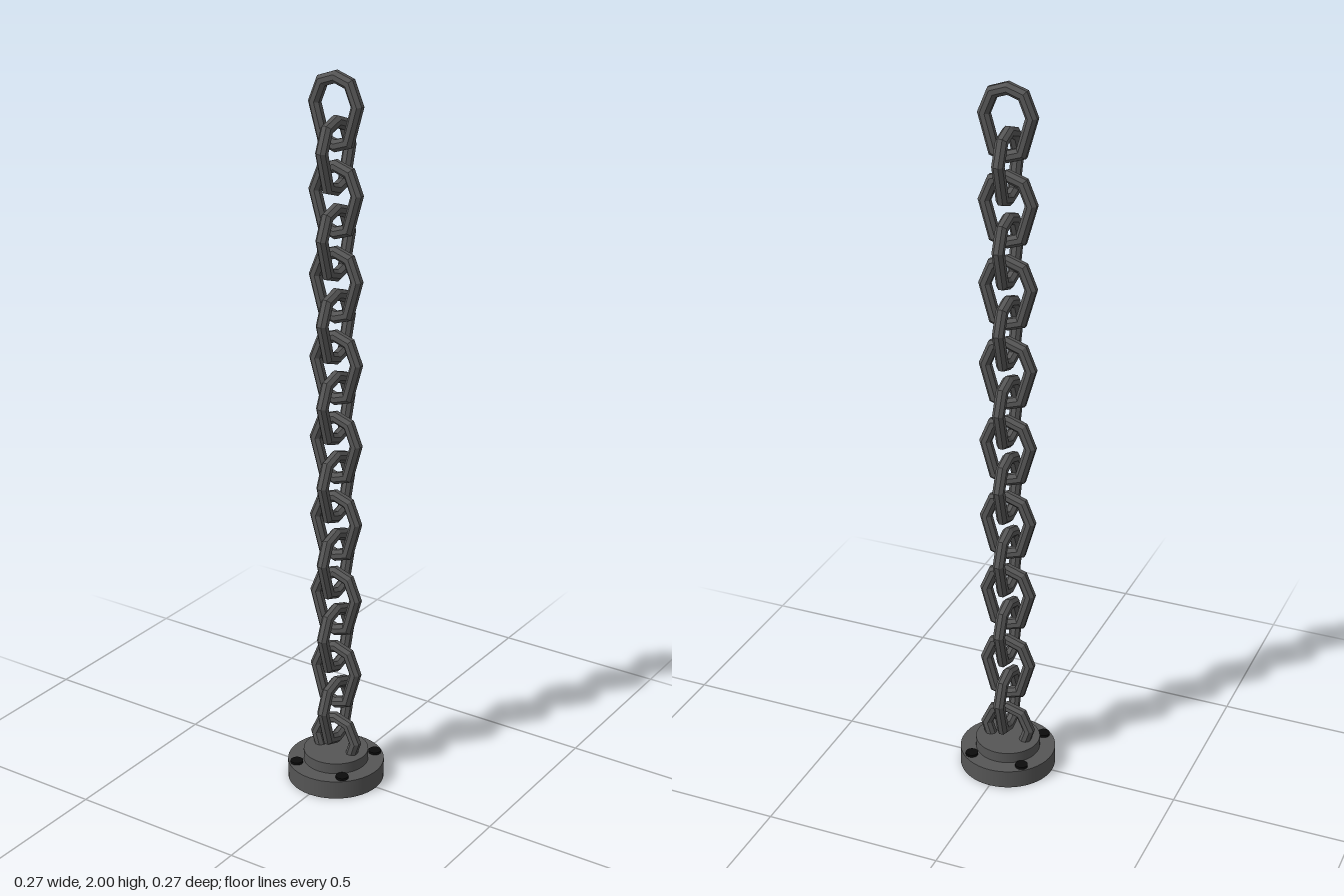
import * as THREE from 'three';

const iron = new THREE.MeshStandardMaterial({ name: 'dark iron', color: 0x555555 });
const linkIron = new THREE.MeshStandardMaterial({ name: 'faceted iron', color: 0x555555, flatShading: true });
const black = new THREE.MeshStandardMaterial({ name: 'black', color: 0x0c0c0c });

// Chain link: an eight-sided ring whose rings follow a pear-shaped loop, mitred at the corners.
// The top of the link lies at y = 0.
function linkGeometry(radius) {
  const half = [[0, -0.016], [-0.041, -0.03], [-0.064, -0.085], [-0.037, -0.178], [0, -0.19]];
  const loop = [...half, ...half.slice(1, 4).reverse().map(([x, y]) => [-x, y])]
    .map(([x, y]) => new THREE.Vector2(x, y));
  const n = loop.length;
  const sides = 8;
  const positions = [];
  const index = [];
  loop.forEach((p, i) => {
    const before = p.clone().sub(loop[(i + n - 1) % n]).normalize();
    const after = loop[(i + 1) % n].clone().sub(p).normalize();
    const tangent = before.clone().add(after).normalize();
    const mitre = 1 / Math.max(0.6, tangent.dot(after));
    const out = new THREE.Vector2(tangent.y, -tangent.x);
    for (let j = 0; j < sides; j++) {
      const a = ((j + 0.5) / sides) * Math.PI * 2;
      const d = Math.cos(a) * radius * mitre;
      positions.push(p.x + out.x * d, p.y + out.y * d, Math.sin(a) * radius);
      const k = (j + 1) % sides;
      const next = ((i + 1) % n) * sides;
      index.push(i * sides + j, next + j, next + k, i * sides + j, next + k, i * sides + k);
    }
  });
  const geometry = new THREE.BufferGeometry();
  geometry.setAttribute('position', new THREE.Float32BufferAttribute(positions, 3));
  geometry.setIndex(index);
  geometry.computeVertexNormals();
  return geometry;
}

export function createModel() {
  const model = new THREE.Group();
  model.name = 'hangingChain';

  const disc = (name, radius, bottom, top, material, x = 0, z = 0) => {
    const mesh = new THREE.Mesh(new THREE.CylinderGeometry(radius, radius, top - bottom, 48), material);
    mesh.position.set(x, (bottom + top) / 2, z);
    mesh.name = name;
    model.add(mesh);
  };

  // Mounting plate with a raised centre and four bolts
  disc('basePlate', 0.135, 0, 0.053, iron);
  disc('raisedDisc', 0.091, 0.053, 0.084, iron);
  for (const x of [-0.076, 0.076])
    for (const z of [-0.084, 0.084]) disc('bolt', 0.0175, 0.04, 0.06, black, x, z);

  // Seventeen links, each turned a quarter from the one above; the last sinks into the plate
  const chain = new THREE.Group();
  chain.name = 'chain';
  const geometry = linkGeometry(0.0165);
  for (let i = 0; i < 17; i++) {
    const link = new THREE.Mesh(geometry, linkIron);
    link.name = 'chainLink';
    link.position.y = 2 - i * 0.1128;
    link.rotation.y = (i % 2) * Math.PI / 2;
    if (i === 16) link.scale.y = 0.9;
    chain.add(link);
  }
  model.add(chain);
  return model;
}
